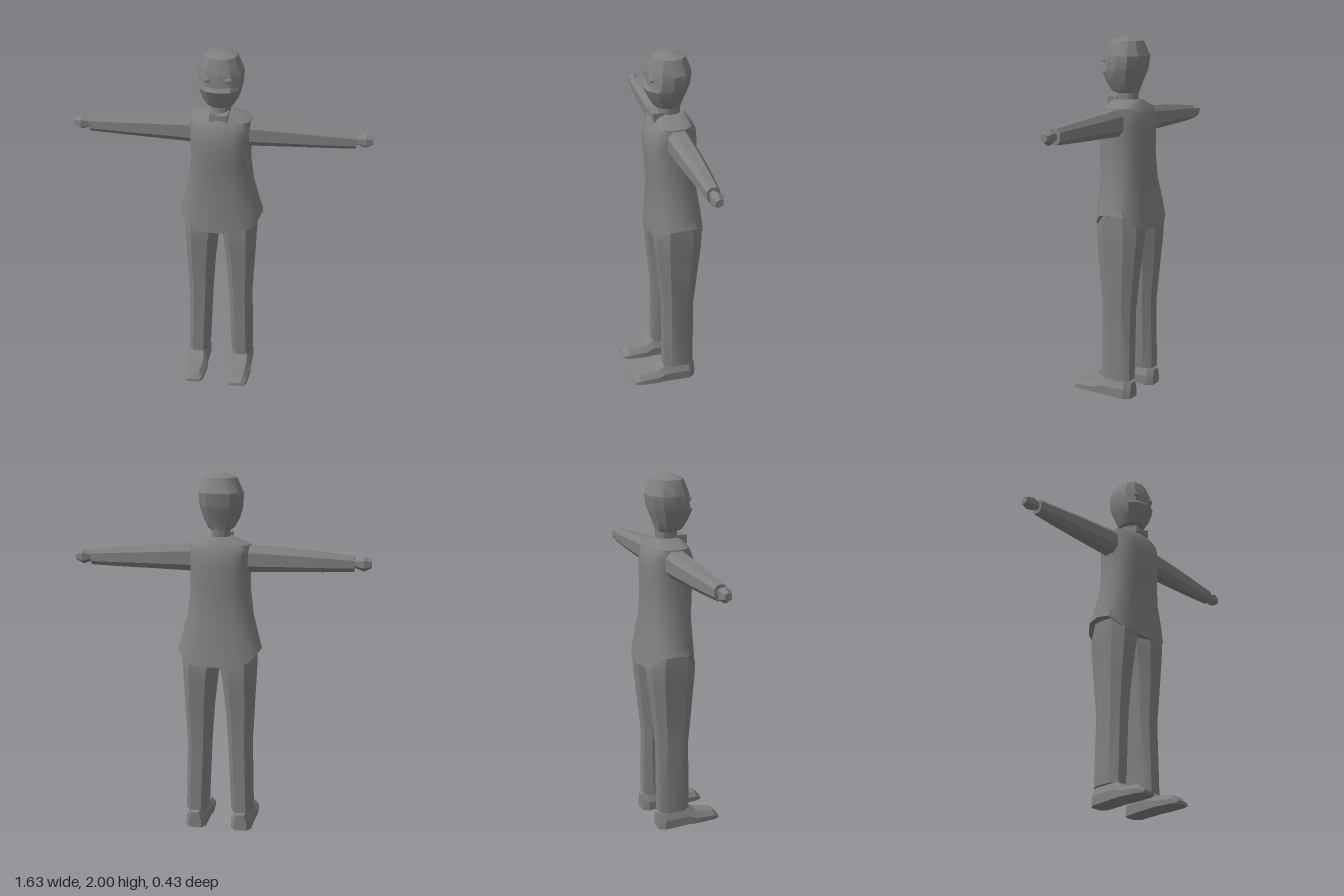
import * as THREE from 'three';
import { toCreasedNormals } from 'three/addons/utils/BufferGeometryUtils.js';

const gray = new THREE.MeshStandardMaterial({ color: 0x808080 });
gray.name = 'plain gray';

// Closed skin through rings of [x, y, z] points, capped at both ends
function loft(name, rings, crease = 0.65) {
  const n = rings[0].length;
  const pts = rings.flat();
  const index = [];
  for (let r = 0; r < rings.length - 1; r++) {
    for (let i = 0; i < n; i++) {
      const a = r * n + i, d = r * n + (i + 1) % n;
      index.push(a, a + n, d + n, a, d + n, d);
    }
  }
  const middle = (ring) => [0, 1, 2].map((k) => ring.reduce((s, p) => s + p[k], 0) / n);
  const first = pts.length, last = first + 1, top = (rings.length - 1) * n;
  const all = [...pts, middle(rings[0]), middle(rings[rings.length - 1])];
  for (let i = 0; i < n; i++) {
    const j = (i + 1) % n;
    index.push(first, i, j, last, top + j, top + i);
  }
  // Turn the skin inside out if its volume is negative
  const v = all.map((p) => new THREE.Vector3(...p));
  let volume = 0;
  for (let i = 0; i < index.length; i += 3) {
    volume += v[index[i]].dot(v[index[i + 1]].clone().cross(v[index[i + 2]]));
  }
  if (volume < 0) index.reverse();
  const geo = new THREE.BufferGeometry();
  geo.setAttribute('position', new THREE.Float32BufferAttribute(all.flat(), 3));
  geo.setIndex(index);
  return named(name, toCreasedNormals(geo, crease));
}

function named(name, geo) {
  const mesh = new THREE.Mesh(geo, gray);
  mesh.name = name;
  return mesh;
}

// Rounded outline as [u, v] pairs; power 2 is an ellipse, higher is boxier
function outline(n, u0, u1, v0, v1, power = 2, turn = 0) {
  return Array.from({ length: n }, (_, i) => {
    const a = (i / n) * Math.PI * 2 + turn;
    const bend = (t) => Math.sign(t) * Math.abs(t) ** (2 / power);
    return [
      (u0 + u1) / 2 + bend(Math.cos(a)) * (u1 - u0) / 2,
      (v0 + v1) / 2 + bend(Math.sin(a)) * (v1 - v0) / 2,
    ];
  });
}

// Horizontal ring at height y
const level = (n, y, x0, x1, zb, zf, power, turn) =>
  outline(n, x0, x1, zb, zf, power, turn).map(([x, z]) => [x, y, z]);

export function createModel() {
  const model = new THREE.Group();
  model.name = 'figure';

  // Jacket: rows of height, half width, back, front; the hem rises at the sides
  const jacketRows = [
    [0.96, 0.235, -0.215, 0.085], [1.08, 0.222, -0.2, 0.08],
    [1.22, 0.185, -0.178, 0.075], [1.37, 0.165, -0.175, 0.085],
    [1.5, 0.165, -0.18, 0.1], [1.58, 0.17, -0.17, 0.08],
    [1.615, 0.168, -0.148, 0.058], [1.655, 0.06, -0.12, 0.03],
  ];
  const jacket = jacketRows.map(([y, w, zb, zf]) => level(16, y, -w, w, zb, zf, 2.7));
  for (const p of jacket[0]) {
    p[1] += 0.085 * THREE.MathUtils.clamp((Math.abs(p[0]) - 0.155) / 0.075, 0, 1);
  }
  model.add(loft('jacket', jacket));

  // Head and neck with a pointed crown and a sharp ridge above the mouth
  const headRows = [
    [1.6, 0.052, -0.1, 0.02], [1.69, 0.052, -0.1, 0.02],
    [1.7, 0.072, -0.102, 0.045], [1.75, 0.1, -0.118, 0.075],
    [1.805, 0.117, -0.142, 0.1], [1.825, 0.121, -0.148, 0.084],
    [1.89, 0.125, -0.157, 0.082], [1.97, 0.088, -0.125, 0.052],
    [2.0, 0.004, -0.032, -0.026],
  ];
  model.add(loft('head', headRows.map(([y, w, zb, zf]) => level(12, y, -w, w, zb, zf, 2.2)), 0.5));

  // Bow tie, pinched at the middle
  const bow = [[-0.05, 0.024], [-0.012, 0.012], [0.012, 0.012], [0.05, 0.024]].map(([x, h]) =>
    [[-h, 0], [-h, 0.06], [h, 0.06], [h, 0]].map(([y, z]) => [x, 1.646 + y, z]));
  model.add(loft('bowTie', bow, 0.2));

  for (const side of [1, -1]) {
    const label = side > 0 ? 'left' : 'right';

    // Eye
    const eye = named(label + 'Eye', new THREE.SphereGeometry(1, 10, 6));
    eye.scale.set(0.023, 0.015, 0.016);
    eye.position.set(side * 0.055, 1.865, 0.066);
    model.add(eye);

    // Sleeve: rows of reach, bottom, top, back, front
    const across = (n, power, turn) => ([x, y0, y1, zb, zf]) =>
      outline(n, zb, zf, y0, y1, power, turn).map(([z, y]) => [side * x, y, z]);
    const sleeveRows = [
      [0.12, 1.46, 1.615, -0.112, 0.02], [0.2, 1.463, 1.612, -0.11, 0.016],
      [0.4, 1.47, 1.597, -0.106, 0.008], [0.56, 1.474, 1.583, -0.097, -0.002],
      [0.725, 1.48, 1.567, -0.085, -0.013],
    ];
    model.add(loft(label + 'Sleeve', sleeveRows.map(across(8, 2.6, Math.PI / 8)), 0.5));

    // Hand: a faceted fist on a narrow wrist
    const handRows = [
      [0.7, 1.5, 1.55, -0.07, -0.025], [0.732, 1.5, 1.55, -0.07, -0.025],
      [0.775, 1.483, 1.567, -0.087, -0.013], [0.815, 1.503, 1.547, -0.072, -0.028],
    ];
    model.add(loft(label + 'Hand', handRows.map(across(6, 2, Math.PI / 6)), 0.2));

    // Trouser leg: rows of height, inner edge, outer edge, back, front
    const legRows = [
      [0.1, 0.068, 0.19, -0.15, 0.037], [0.5, 0.05, 0.182, -0.15, 0.035],
      [0.7, 0.037, 0.192, -0.17, 0.053], [0.88, 0.017, 0.2, -0.19, 0.07],
      [0.96, 0, 0.205, -0.195, 0.076], [1.06, 0, 0.2, -0.17, 0.06],
    ];
    model.add(loft(label + 'Leg', legRows.map(([y, x0, x1, zb, zf]) =>
      level(8, y, side * x0, side * x1, zb, zf, 2.8, Math.PI / 8)), 0.6));

    // Shoe: slices along z with inner edge, outer edge and top
    const shoeRows = [
      [-0.155, 0.095, 0.165, 0.09], [-0.12, 0.072, 0.188, 0.105],
      [0.025, 0.07, 0.192, 0.105], [0.075, 0.064, 0.196, 0.072],
      [0.18, 0.073, 0.188, 0.058], [0.215, 0.088, 0.172, 0.026],
    ];
    const shoe = shoeRows.map(([z, x0, x1, top]) => {
      const base = z < -0.1 ? 0 : 0.008, inset = (x1 - x0) * 0.2;
      return [
        [x0, base], [x1, base], [x1, base + (top - base) * 0.5], [x1 - inset, top],
        [x0 + inset, top], [x0, base + (top - base) * 0.5],
      ].map(([x, y]) => [side * x, y, z]);
    });
    model.add(loft(label + 'Shoe', shoe, 0.4));
  }

  return model;
}
